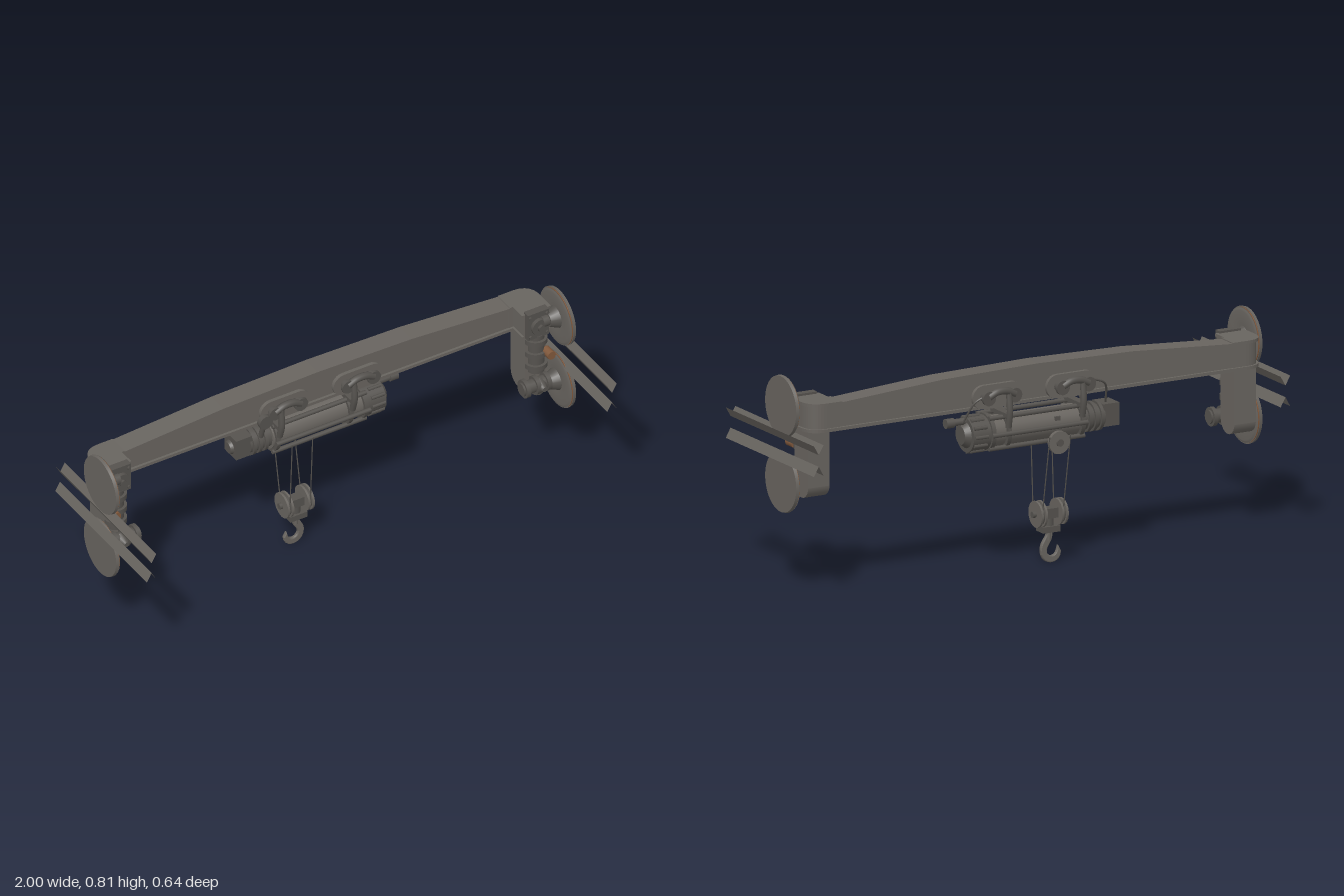
import * as THREE from 'three';

const mat = (name, color, side = THREE.FrontSide) => {
  const m = new THREE.MeshStandardMaterial({ color, side });
  m.name = name;
  return m;
};

export function createModel() {
  const root = new THREE.Group();
  root.name = 'overheadCrane';
  const steel = mat('grey steel', 0x68645f);
  const dark = mat('dark machinery', 0x55524e);
  const rust = mat('rusty brown', 0x80583c);
  const sheet = mat('rail steel', 0x68645f, THREE.DoubleSide);

  const add = (name, geo, m) => {
    const mesh = new THREE.Mesh(geo, m);
    mesh.name = name;
    root.add(mesh);
    return mesh;
  };
  const box = (name, m, x0, x1, y0, y1, z0, z1) =>
    add(name, new THREE.BoxGeometry(Math.abs(x1 - x0), y1 - y0, Math.abs(z1 - z0)), m)
      .position.set((x0 + x1) / 2, (y0 + y1) / 2, (z0 + z1) / 2);
  // cylinder or cone running from point a to point b
  const rod = (name, m, a, b, r0, r1 = r0, seg = 20) => {
    const A = new THREE.Vector3(...a), B = new THREE.Vector3(...b);
    const d = B.clone().sub(A);
    const mesh = add(name, new THREE.CylinderGeometry(r1, r0, d.length(), seg), m);
    mesh.position.copy(A).add(B).multiplyScalar(0.5);
    mesh.quaternion.setFromUnitVectors(new THREE.Vector3(0, 1, 0), d.normalize());
  };
  const tube = (name, m, pts, r, n = 24) =>
    add(name, new THREE.TubeGeometry(new THREE.CatmullRomCurve3(pts.map(p => new THREE.Vector3(...p))), n, r, 8), m);

  // --- bridge girder: arched web with wider flanges ---
  const top = [[-0.87, 0.735], [-0.4, 0.767], [0, 0.775], [0.4, 0.767], [0.87, 0.735]];
  const girder = (name, pts, z0, z1) => {
    const g = new THREE.ExtrudeGeometry(new THREE.Shape(pts.map(p => new THREE.Vector2(...p))),
      { depth: z1 - z0, bevelEnabled: false });
    g.translate(0, 0, z0);
    add(name, g, steel);
  };
  girder('girderWeb', [[-0.87, 0.64], [0.87, 0.64], ...[...top].reverse().map(([x, y]) => [x, y - 0.006])], -0.205, -0.14);
  girder('girderTopFlange', [...top.map(([x, y]) => [x, y - 0.012]), ...[...top].reverse()], -0.215, -0.13);
  box('girderBottomFlange', steel, -0.87, 0.87, 0.633, 0.645, -0.215, -0.13);

  // --- end carriages ---
  for (const s of [-1, 1]) {
    // elbow turning forward, with lips top and bottom
    const elbow = (name, y0, y1, k) => {
      const sh = new THREE.Shape();
      sh.moveTo(s * 0.82, 0.215 - k);
      sh.lineTo(s * 0.88, 0.215 - k);
      sh.quadraticCurveTo(s * (0.955 - k), 0.215 - k, s * (0.955 - k), 0.14);
      sh.lineTo(s * (0.955 - k), 0.065);
      sh.lineTo(s * (0.832 + k), 0.065);
      sh.lineTo(s * (0.832 + k), 0.13 + k);
      sh.lineTo(s * 0.82, 0.13 + k);
      const g = new THREE.ExtrudeGeometry(sh, { depth: y1 - y0, bevelEnabled: false, curveSegments: 10 });
      g.rotateX(-Math.PI / 2);
      g.translate(0, y0, 0);
      add(name, g, steel);
    };
    elbow('elbowBody', 0.64, 0.735, 0.008);
    elbow('elbowTopLip', 0.73, 0.742, 0);
    elbow('elbowBottomLip', 0.633, 0.645, 0);

    // hanging leg
    box('leg', steel, s * 0.85, s * 0.94, 0.42, 0.64, -0.175, -0.075);
    rod('legFoot', steel, [s * 0.85, 0.425, -0.125], [s * 0.94, 0.425, -0.125], 0.05);
    rod('legFrontShaft', dark, [s * 0.895, 0.47, -0.075], [s * 0.895, 0.64, -0.075], 0.033);
    for (const y of [0.5, 0.555, 0.61])
      rod('legCollar', dark, [s * 0.895, y - 0.01, -0.075], [s * 0.895, y + 0.01, -0.075], 0.044);

    // gearbox on the upper axle
    box('upperGearbox', dark, s * 0.845, s * 0.935, 0.635, 0.75, -0.075, -0.045);
    rod('gearboxCover', dark, [s * 0.89, 0.69, -0.046], [s * 0.89, 0.69, -0.03], 0.034);
    rod('gearboxNut', dark, [s * 0.89, 0.69, -0.03], [s * 0.89, 0.69, -0.02], 0.014, 0.014, 6);
    for (const x of [0.855, 0.925]) for (const y of [0.65, 0.735])
      rod('gearboxBolt', dark, [s * x, y, -0.046], [s * x, y, -0.038], 0.007, 0.007, 6);

    // wheel motor on the lower axle
    rod('lowerMotor', dark, [s * 0.815, 0.425, -0.045], [s * 0.93, 0.425, -0.045], 0.026);
    for (const x of [0.83, 0.875, 0.92])
      rod('motorCollar', dark, [s * (x - 0.008), 0.425, -0.045], [s * (x + 0.008), 0.425, -0.045], 0.036);
    rod('motorNose', dark, [s * 0.89, 0.425, -0.04], [s * 0.89, 0.425, 0], 0.028, 0.01);
    rod('motorFoot', dark, [s * 0.9, 0.365, -0.075], [s * 0.9, 0.42, -0.075], 0.024, 0.034, 10);
    rod('bumper', rust, [s * 0.925, 0.56, -0.055], [s * 0.925, 0.56, -0.01], 0.017);
    rod('bumperStem', dark, [s * 0.925, 0.56, -0.1], [s * 0.925, 0.56, -0.055], 0.008);

    // wheels and axles
    for (const [y, axle] of [[0.705, 0.9], [0.42, 0.9]]) {
      const prof = [[0, 0], [0.04, 0], [0.05, 0.005], [0.1, 0.005], [0.107, 0], [0.112, 0]];
      const face = (name, x, dir, m) => {
        const g = new THREE.LatheGeometry(prof.map(([r, d]) => new THREE.Vector2(r, d)), 40);
        const mesh = add(name, g, m);
        mesh.rotation.z = dir * Math.PI / 2;
        mesh.position.set(x, y, -0.042);
      };
      rod('wheel', steel, [s * 0.967, y, -0.042], [s * 0.979, y, -0.042], 0.115, 0.113, 40);
      rod('wheelTread', rust, [s * 0.964, y, -0.042], [s * 0.968, y, -0.042], 0.112, 0.112, 40);
      face('wheelInnerFace', s * 0.962, s, sheet);
      rod('wheelHub', dark, [s * 0.925, y, -0.042], [s * 0.964, y, -0.042], 0.028, 0.045);
      rod('axle', dark, [s * axle, y, -0.042], [s * 0.965, y, -0.042], 0.022);
    }

    // V-section rails
    for (const [edge, valley] of [[0.62, 0.585], [0.505, 0.541]]) {
      const g = new THREE.BufferGeometry();
      const v = [], xs = [[0.96, edge], [0.98, valley], [1, edge]];
      for (let i = 0; i < 2; i++) {
        const [a, b] = [xs[i], xs[i + 1]];
        const q = [[...a, -0.32], [...b, -0.32], [...b, 0.32], [...a, -0.32], [...b, 0.32], [...a, 0.32]];
        q.forEach(([x, y, z]) => v.push(s * x, y, z));
      }
      g.setAttribute('position', new THREE.Float32BufferAttribute(v, 3));
      g.computeVertexNormals();
      add('rail', g, sheet);
    }
  }

  // --- trolley plates and rollers on both sides of the girder ---
  for (const cx of [-0.14, 0.17]) {
    for (const side of [-1, 1]) {
      const z = side < 0 ? -0.207 : -0.138, out = z + side * 0.014;
      for (const dx of [-0.06, 0.06])
        rod('trolleyRoller', steel, [cx + dx, 0.678, z], [cx + dx, 0.678, out], 0.045, 0.045, 24);
      box('trolleyPlate', steel, cx - 0.06, cx + 0.06, 0.633, 0.723, z, out);
      const far = side < 0 ? -0.25 : -0.105;
      for (const dx of [-0.055, 0.055]) {
        rod('rollerPin', dark, [cx + dx, 0.68, out], [cx + dx, 0.68, far], 0.019);
        rod('rollerCap', dark, [cx + dx, 0.68, far - 0.006], [cx + dx, 0.68, far + 0.006], 0.027);
      }
      tube('trolleyYoke', dark, [[cx - 0.055, 0.685, far], [cx - 0.02, 0.7, far], [cx + 0.02, 0.7, far], [cx + 0.055, 0.685, far]], 0.014);
      tube('hangerArm', dark, [[cx - 0.03, 0.69, far], [cx - 0.03, 0.62, far + side * 0.006], [cx - 0.03, 0.56, -0.18 + side * 0.065]], 0.012);
    }
    box('hangerBridge', dark, cx - 0.045, cx - 0.015, 0.6, 0.615, -0.25, -0.105);
  }

  // --- hoist drum ---
  const hy = 0.537, hz = -0.18;
  const along = (name, m, x0, x1, r0, r1 = r0, seg = 24) => rod(name, m, [x0, hy, hz], [x1, hy, hz], r0, r1, seg);
  along('drum', steel, -0.19, 0.22, 0.058);
  for (const x of [-0.175, 0.135, 0.2]) along('drumFlange', dark, x - 0.008, x + 0.008, 0.071);
  for (const [dy, dz] of [[0.06, 0.045], [0.06, -0.045], [-0.055, 0.045], [-0.055, -0.045], [0, 0.075], [0, -0.07]])
    rod('frameBar', dark, [-0.19, hy + dy, hz + dz], [0.21, hy + dy, hz + dz], 0.009, 0.009, 8);
  along('gearHousing', dark, 0.21, 0.285, 0.066);
  along('gearHousingEnd', dark, 0.285, 0.305, 0.05, 0.035);
  for (let i = 0; i < 12; i++) {
    const a = i * Math.PI / 6, c = Math.cos(a) * 0.066, d = Math.sin(a) * 0.066;
    rod('housingRib', dark, [0.225, hy + c, hz + d], [0.28, hy + c, hz + d], 0.007, 0.007, 6);
  }
  rod('controlShaft', dark, [0.28, 0.588, hz], [0.345, 0.588, hz], 0.013);
  rod('controlKnob', dark, [0.335, 0.588, hz], [0.368, 0.588, hz], 0.018);
  along('motorBody', dark, -0.28, -0.18, 0.047);
  for (const x of [-0.265, -0.24, -0.215]) along('motorFin', dark, x - 0.006, x + 0.006, 0.056);
  box('motorBox', dark, -0.34, -0.272, 0.5, 0.585, -0.22, -0.14);
  along('motorEnd', dark, -0.352, -0.335, 0.022, 0.03);
  rod('brakeDrum', dark, [-0.235, 0.655, -0.12], [-0.235, 0.655, -0.1], 0.028);
  rod('brakePost', dark, [-0.235, 0.57, -0.14], [-0.235, 0.655, -0.112], 0.01);
  for (const s of [-1, 1]) // cables sagging from the trolley to the hoist ends
    tube('cable', dark, [[s * 0.2, 0.7, -0.25], [s * 0.27, 0.67, -0.235], [s * 0.3, 0.585, -0.19]], 0.004);

  // --- guide pulley, ropes and hook block ---
  const bx = -0.073, bz = -0.166, by = 0.193;
  rod('guidePulley', steel, [bx, 0.475, -0.25], [bx, 0.475, -0.235], 0.043);
  rod('guidePulleyHub', dark, [bx, 0.475, -0.256], [bx, 0.475, -0.2], 0.014);
  box('pulleyStrap', dark, bx - 0.012, bx + 0.012, 0.43, 0.57, -0.235, -0.228);
  for (const x of [-0.118, -0.031]) {
    rod('rope', dark, [x, 0.2, -0.128], [x, 0.5, -0.112], 0.0022, 0.0022, 6);
    rod('rope', dark, [x, 0.2, -0.196], [x, 0.5, -0.25], 0.0022, 0.0022, 6);
    for (const d of [-0.009, 0.009])
      rod('sheaveRim', steel, [x + d - 0.004, by, bz], [x + d + 0.004, by, bz], 0.05, 0.05, 16);
    rod('sheaveCore', dark, [x - 0.008, by, bz], [x + 0.008, by, bz], 0.042, 0.042, 16);
  }
  rod('sheaveAxle', dark, [-0.142, by, bz], [-0.005, by, bz], 0.012, 0.012, 12);
  box('blockBody', dark, bx - 0.04, bx + 0.04, 0.175, 0.212, bz - 0.02, bz + 0.02);
  rod('blockNeck', dark, [bx, 0.14, bz], [bx, 0.18, bz], 0.02);
  box('hookCrosshead', dark, bx - 0.036, bx + 0.036, 0.124, 0.147, bz - 0.028, bz + 0.028);
  rod('hookShank', steel, [bx, 0.09, bz], [bx, 0.13, bz], 0.011, 0.011, 10);

  // hook: outer and inner curves, bevelled edges
  const hook = new THREE.Shape();
  hook.moveTo(-0.01, 0.118);
  hook.lineTo(0.01, 0.118);
  hook.bezierCurveTo(0.012, 0.095, 0.036, 0.085, 0.037, 0.052);
  hook.bezierCurveTo(0.037, -0.01, -0.045, -0.01, -0.045, 0.042);
  hook.lineTo(-0.035, 0.062);
  hook.bezierCurveTo(-0.03, 0.01, 0.015, 0.022, 0.015, 0.05);
  hook.bezierCurveTo(0.012, 0.072, -0.01, 0.08, -0.01, 0.118);
  const hg = new THREE.ExtrudeGeometry(hook, { depth: 0.006, bevelThickness: 0.005, bevelSize: 0.004, bevelOffset: -0.002, bevelSegments: 2, curveSegments: 10 });
  hg.translate(bx - 0.004, 0.003, bz - 0.003);
  add('hook', hg, steel);

  return root;
}
